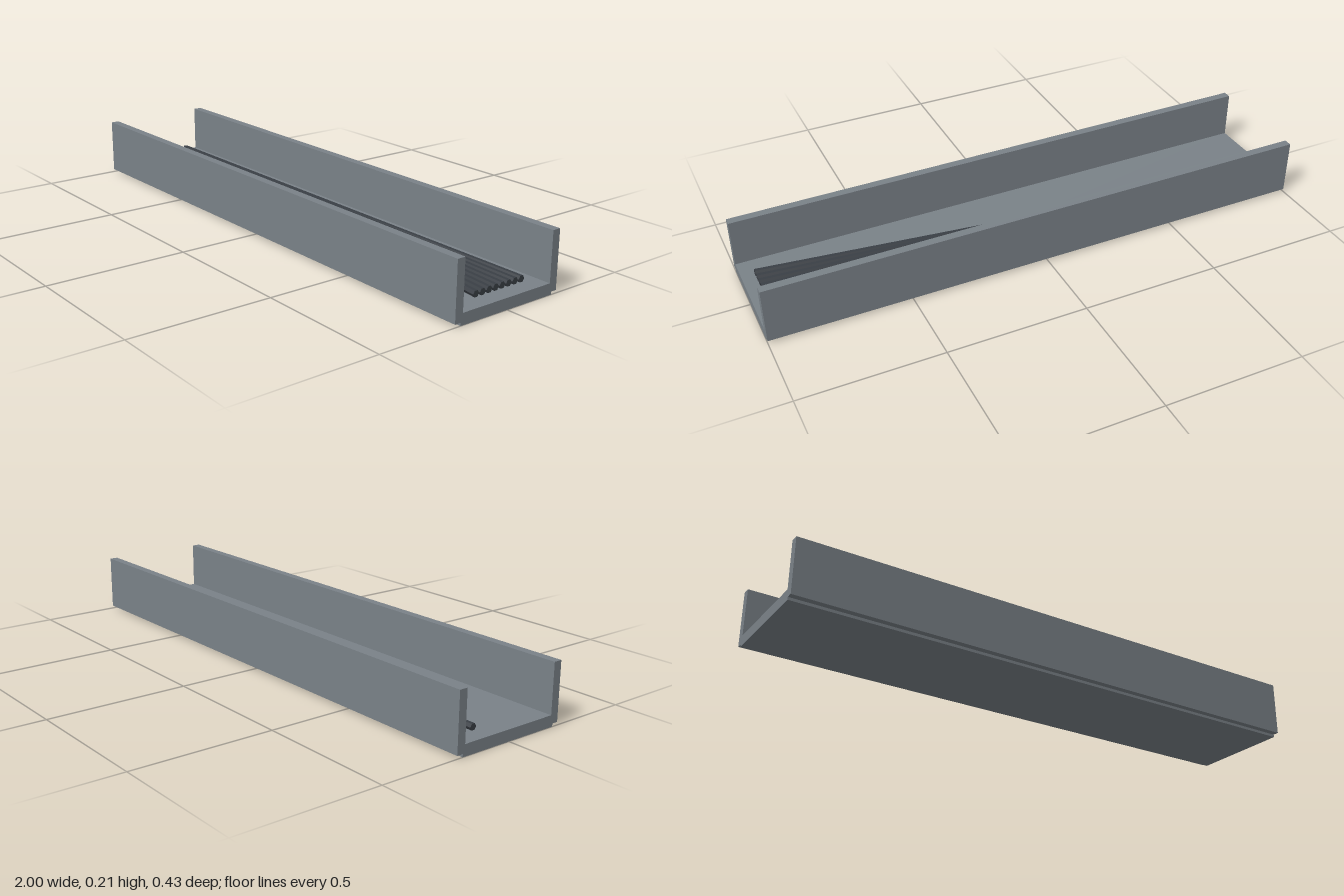
import * as THREE from 'three';

const CABLES = 8;
const HALF = 0.955; // half the cable length

// Sideways drift of the outermost cable: a soft bend, then a straight fan
function fan(x) {
  const bendEnd = -0.265, mid = (bendEnd - HALF) / 2;
  const slope = 0.194 / (HALF - mid);
  if (x >= bendEnd) return slope * (x - mid);
  return slope * (x + HALF) ** 2 / (2 * (bendEnd + HALF));
}

// Hexagonal cable along x, its vertices shifted in z by the fan rule
function cableGeometry(share) {
  const geo = new THREE.CylinderGeometry(0.012, 0.012, HALF * 2, 6, 28);
  geo.rotateZ(Math.PI / 2);
  const p = geo.attributes.position;
  for (let i = 0; i < p.count; i++) p.setZ(i, p.getZ(i) + share * fan(p.getX(i)));
  geo.computeVertexNormals();
  return geo;
}

export function createModel() {
  const model = new THREE.Group();
  model.name = 'cableTray';

  const trayMetal = new THREE.MeshStandardMaterial({ color: 0x7a8288 });
  trayMetal.name = 'tray grey';
  const cableRubber = new THREE.MeshStandardMaterial({ color: 0x3a3f45, flatShading: true });
  cableRubber.name = 'cable dark grey';

  // Floor of the channel
  const base = new THREE.Mesh(new THREE.BoxGeometry(2, 0.039, 0.386), trayMetal);
  base.name = 'trayBase';
  base.position.y = 0.0195;
  model.add(base);

  // Side walls, raised slightly above the underside
  for (const side of [1, -1]) {
    const wall = new THREE.Mesh(new THREE.BoxGeometry(2, 0.2, 0.03), trayMetal);
    wall.name = side > 0 ? 'frontWall' : 'backWall';
    wall.position.set(0, 0.11, side * 0.2);
    model.add(wall);
  }

  // Cables bundled at one end and fanned out at the other
  const cables = new THREE.Group();
  cables.name = 'cables';
  for (let i = 0; i < CABLES; i++) {
    const cable = new THREE.Mesh(cableGeometry(i / (CABLES - 1)), cableRubber);
    cable.name = `cable${i + 1}`;
    cable.position.set(0, 0.0585, -0.107);
    cables.add(cable);
  }
  model.add(cables);

  return model;
}
